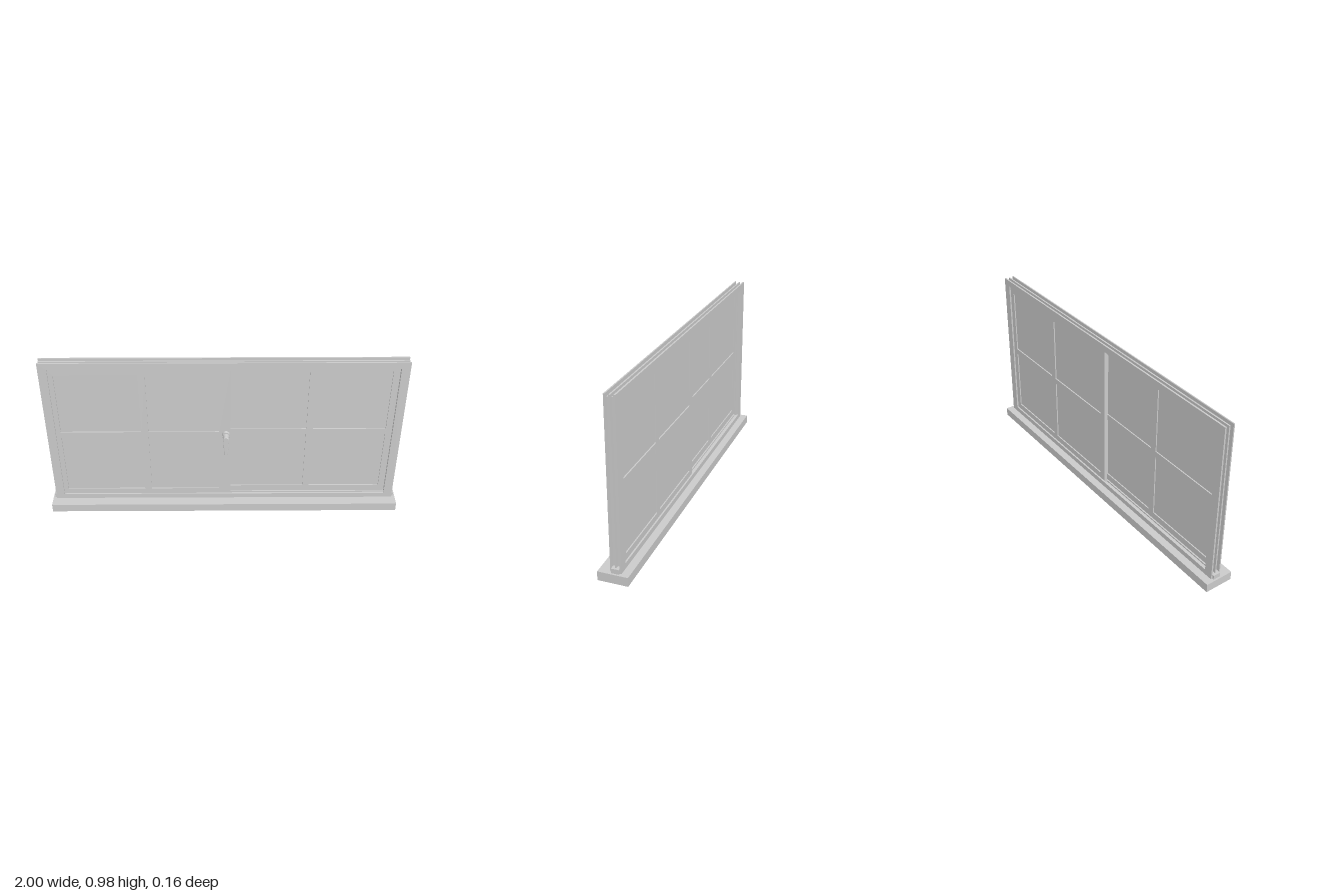
import * as THREE from 'three';

const mat = new THREE.MeshStandardMaterial({ color: 0xcccccc });

function add(parent, name, geometry, x = 0, y = 0, z = 0) {
  const mesh = new THREE.Mesh(geometry, mat);
  mesh.name = name;
  mesh.position.set(x, y, z);
  parent.add(mesh);
  return mesh;
}

// Rectangle outline, used for outer contours and holes
function rect(Type, x0, y0, x1, y1) {
  const r = new Type();
  r.moveTo(x0, y0);
  r.lineTo(x1, y0);
  r.lineTo(x1, y1);
  r.lineTo(x0, y1);
  r.closePath();
  return r;
}

// Flat panel with rectangular openings, spanning z0 to z1
function panel(outer, holes, z0, z1) {
  const shape = rect(THREE.Shape, ...outer);
  holes.forEach((h) => shape.holes.push(rect(THREE.Path, ...h)));
  return new THREE.ExtrudeGeometry(shape, { depth: z1 - z0, bevelEnabled: false }).translate(0, 0, z0);
}

// Outer frame: stacked rings form grooves outside and sash tracks inside
function createFrame() {
  const frame = new THREE.Group();
  frame.name = 'frame';
  // name, z0, z1, outer inset, opening growth
  const layers = [
    ['frontFlange', 0.013, 0.02, 0, 0],
    ['frontTrack', -0.004, 0.013, 0.02, 0.012],
    ['middleRib', -0.012, -0.004, 0.003, 0.004],
    ['backTrack', -0.03, -0.012, 0.02, 0.012],
    ['backFlange', -0.039, -0.03, 0, 0],
  ];
  for (const [name, z0, z1, inset, grow] of layers) {
    add(frame, name, panel(
      [-0.98 + inset, 0.05, 0.98 - inset, 0.978 - inset],
      [[-0.932 - grow, 0.08 - grow, 0.932 + grow, 0.94 + grow]], z0, z1));
  }
  for (const s of [-1, 1]) {
    add(frame, 'bottomRailEnd', new THREE.BoxGeometry(0.03, 0.026, 0.042), s * 0.975, 0.063, -0.009);
  }
  return frame;
}

// Sash: frame and glazing bars with four recessed panes
function createSash(name, x0, x1, columns, z0, z1) {
  const sash = new THREE.Group();
  sash.name = name;
  const rows = [[0.115, 0.49], [0.525, 0.902]];
  const holes = [];
  for (const [a, b] of columns) for (const [c, d] of rows) holes.push([a, c, b, d]);
  add(sash, 'sashFrame', panel([x0, 0.07, x1, 0.95], holes, z0, z1));
  const zm = (z0 + z1) / 2;
  for (const [a, c, b, d] of holes) {
    add(sash, 'glassPane', new THREE.BoxGeometry(b - a, d - c, 0.004), (a + b) / 2, (c + d) / 2, zm);
  }
  return sash;
}

// Handle: oval plate, round neck and a tapering lever
function createHandle() {
  const handle = new THREE.Group();
  handle.name = 'handle';
  const plate = new THREE.CylinderGeometry(0.023, 0.025, 0.012, 32).rotateX(Math.PI / 2).scale(0.92, 1.15, 1);
  add(handle, 'handlePlate', plate, 0, 0.502, 0.019);
  const neck = new THREE.CylinderGeometry(0.016, 0.018, 0.03, 24).rotateX(Math.PI / 2);
  add(handle, 'handleNeck', neck, 0, 0.502, 0.038);

  const outline = new THREE.Shape();
  outline.moveTo(-0.007, 0.403);
  outline.lineTo(-0.013, 0.502);
  outline.absarc(0, 0.504, 0.014, Math.PI, 0, true);
  outline.lineTo(0.007, 0.403);
  outline.quadraticCurveTo(0, 0.4, -0.007, 0.403);
  const lever = new THREE.ExtrudeGeometry(outline, {
    depth: 0.009, bevelThickness: 0.003, bevelSize: 0.003, bevelSegments: 3, curveSegments: 16,
  });
  add(handle, 'handleLever', lever, 0, 0, 0.05);
  handle.position.x = 0.01;
  return handle;
}

export function createModel() {
  const model = new THREE.Group();
  model.name = 'slidingWindow';
  add(model, 'sill', new THREE.BoxGeometry(2, 0.05, 0.162), 0, 0.025, 0);
  model.add(
    createFrame(),
    createSash('frontSash', -0.942, 0.036, [[-0.905, -0.46], [-0.42, -0.03]], -0.004, 0.0125),
    createSash('backSash', -0.042, 0.942, [[0, 0.457], [0.495, 0.9]], -0.0295, -0.012),
    createHandle(),
  );
  return model;
}
